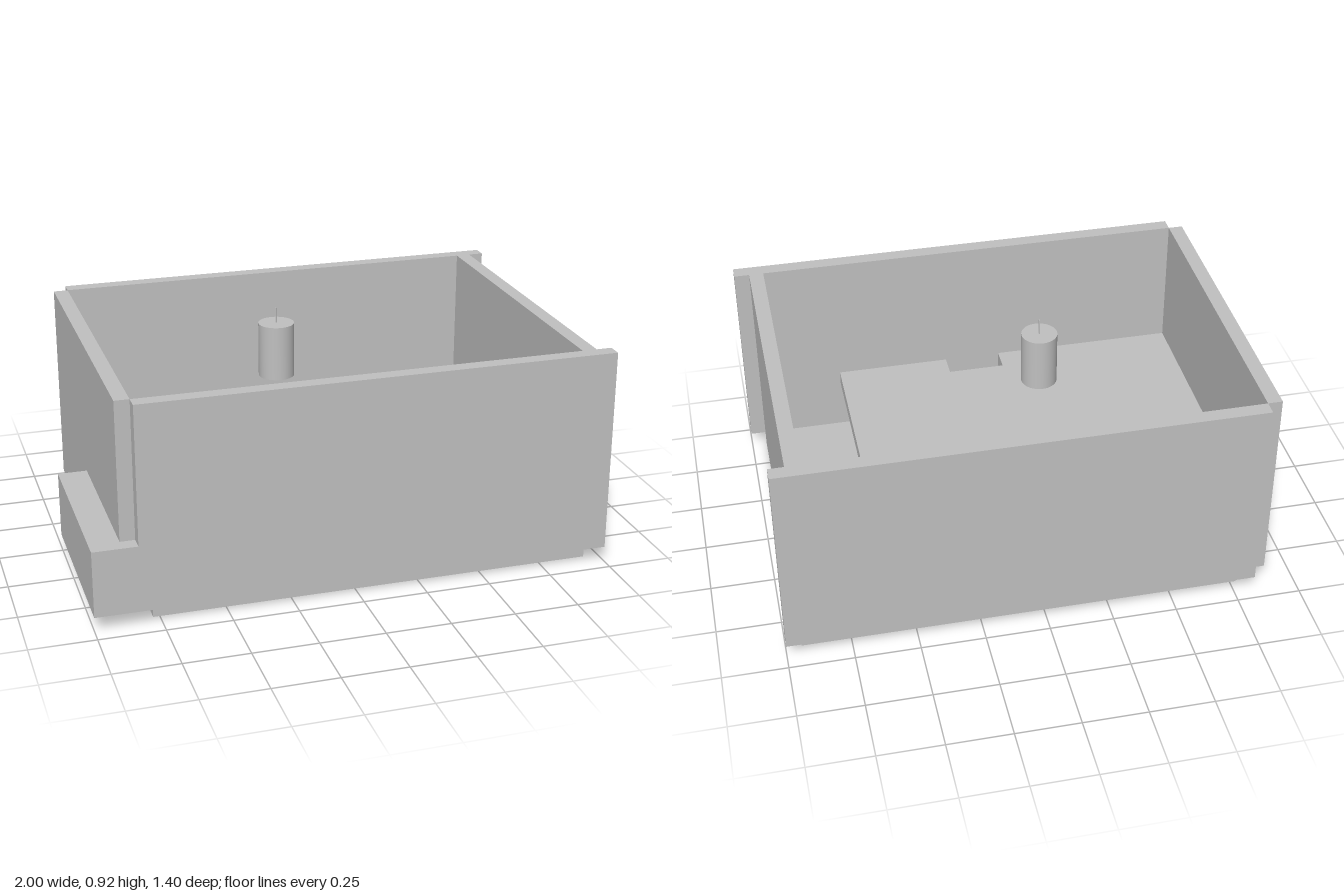
import * as THREE from 'three';

export function createModel() {
  const model = new THREE.Group();
  model.name = 'openCase';
  const grey = new THREE.MeshStandardMaterial({ color: 0xc0c0c0 });
  grey.name = 'light grey';

  const add = (name, geometry) => {
    const mesh = new THREE.Mesh(geometry, grey);
    mesh.name = name;
    model.add(mesh);
    return mesh;
  };
  // Box given by its low and high limits on each axis
  const box = (name, [x0, x1], [y0, y1], [z0, z1]) =>
    add(name, new THREE.BoxGeometry(x1 - x0, y1 - y0, z1 - z0))
      .position.set((x0 + x1) / 2, (y0 + y1) / 2, (z0 + z1) / 2);
  const polygon = points => new THREE.Shape(points.map(p => new THREE.Vector2(...p)));

  const low = 0.06, top = 0.86, ledge = 0.32;
  const back = -0.643, front = 0.64;

  // Floor and upright panels
  box('floorPanel', [-0.775, 0.94], [0, low], [back, front]);
  box('backWall', [-0.83, 1], [low, top], [-0.7, back]);
  box('leftWall', [0.883, 0.94], [low, top], [back, front]);
  box('rightWall', [-0.887, -0.83], [low, top], [back, front]);

  // Front panel with a low extension covering the side block
  const frontShape = polygon([[-1, low], [1, low], [1, top], [-0.83, top], [-0.83, ledge], [-1, ledge]]);
  add('frontWall', new THREE.ExtrudeGeometry(frontShape, { depth: 0.697 - front, bevelEnabled: false }))
    .position.z = front;
  box('sideBlock', [-1, -0.887], [low, ledge], [-0.02, front]);

  // Inner shelf with a notch in its front edge
  const shelfShape = polygon([
    [-0.83, -front], [-0.09, -front], [-0.09, -0.545], [0.14, -0.545],
    [0.14, -front], [0.6, -front], [0.6, 0.575], [-0.83, 0.575],
  ]);
  const shelf = new THREE.ExtrudeGeometry(shelfShape, { depth: 0.06, bevelEnabled: false });
  shelf.rotateX(-Math.PI / 2);
  add('shelf', shelf).position.y = ledge + 0.005 - 0.06;

  // Round motor body and its thin shaft
  add('motorBody', new THREE.CylinderGeometry(0.07, 0.07, 0.215, 48)).position.set(-0.117, 0.748, -0.015);
  add('motorShaft', new THREE.CylinderGeometry(0.003, 0.003, 0.07, 12)).position.set(-0.117, 0.883, -0.015);

  return model;
}
